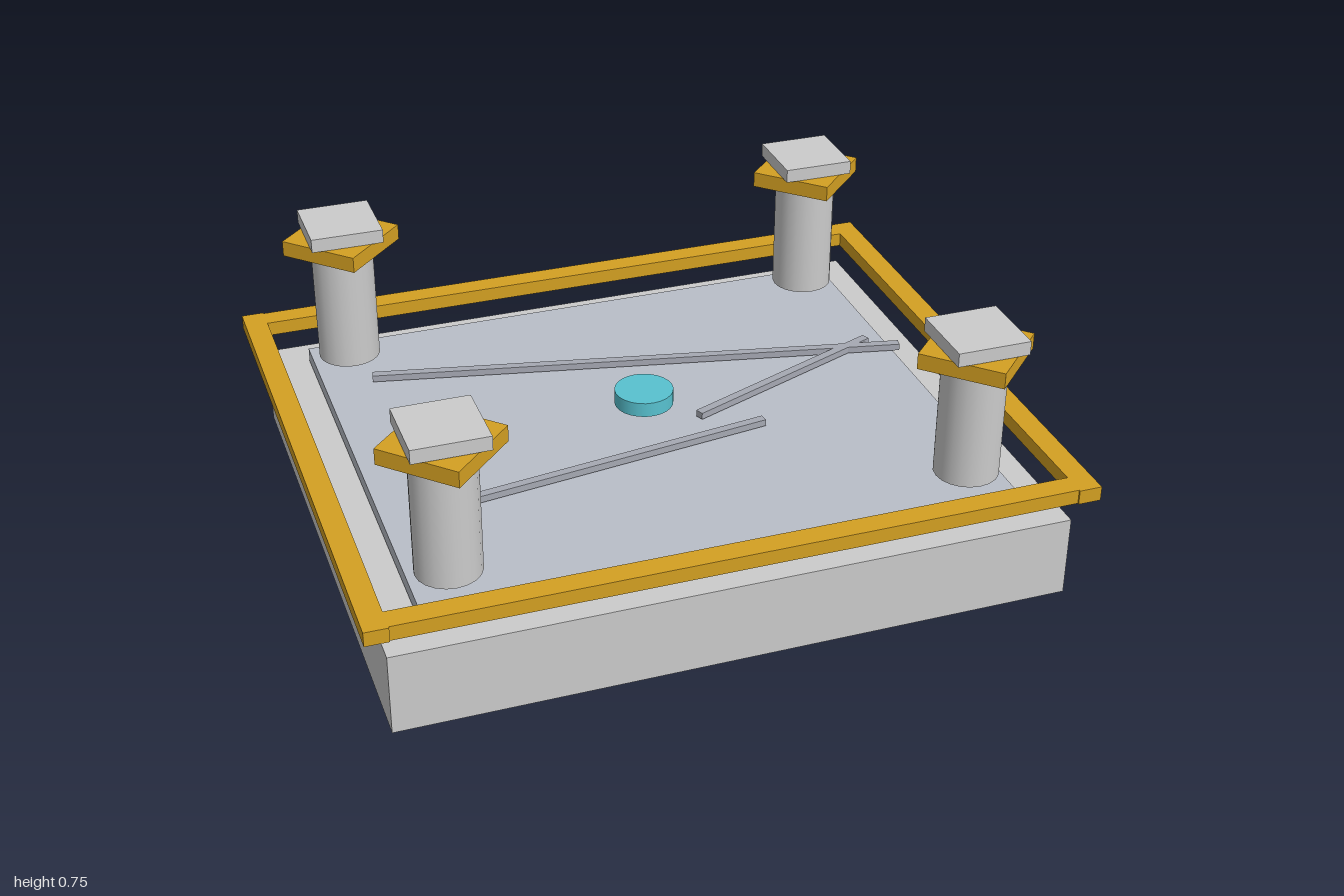
import * as THREE from 'three';

const mat = (color) => new THREE.MeshStandardMaterial({ color });

export function createModel() {
  const model = new THREE.Group();
  const grey = mat(0xcccccc);
  const slate = mat(0xb9bec8);
  const lineGrey = mat(0xa6a9b3);
  const gold = mat(0xd4a022);
  const cyan = mat(0x58c2d0);

  const add = (parent, name, geometry, material, x, y, z) => {
    const mesh = new THREE.Mesh(geometry, material);
    mesh.name = name;
    mesh.position.set(x, y, z);
    parent.add(mesh);
    return mesh;
  };
  // Box given by its bottom and top heights
  const slab = (parent, name, w, d, y0, y1, material, x = 0, z = 0) =>
    add(parent, name, new THREE.BoxGeometry(w, y1 - y0, d), material, x, (y0 + y1) / 2, z);

  // Plinth and inset floor
  slab(model, 'base', 1.88, 1.61, 0, 0.235, grey);
  slab(model, 'floor', 1.66, 1.39, 0.24, 0.283, slate);

  // Floating rim of four rails
  const rim = new THREE.Group();
  rim.name = 'rim';
  model.add(rim);
  for (const s of [-1, 1]) {
    slab(rim, 'sideRail', 0.065, 1.68, 0.308, 0.35, gold, s * 0.9675, 0);
    slab(rim, 'crossRail', 1.87, 0.065, 0.308, 0.35, gold, 0, s * 0.8025);
  }

  // Thin strips lying over the floor: x0, z0, x1, z1
  const strips = [
    [-0.69, -0.44, 0.848, -0.118],
    [0.143, 0.069, 0.768, -0.182],
    [-0.682, 0.298, 0.305, 0.158],
  ];
  for (const [x0, z0, x1, z1] of strips) {
    const length = Math.hypot(x1 - x0, z1 - z0);
    const strip = slab(model, 'floorStrip', length, 0.025, 0.289, 0.309, lineGrey, (x0 + x1) / 2, (z0 + z1) / 2);
    strip.rotation.y = -Math.atan2(z1 - z0, x1 - x0);
  }

  // Central disc
  add(model, 'centreDisc', new THREE.CylinderGeometry(0.084, 0.084, 0.043, 24), cyan, 0, 0.3525, 0);

  // Corner columns, each with a turned gold collar and a square cap
  for (const sx of [-1, 1]) {
    for (const sz of [-1, 1]) {
      const column = new THREE.Group();
      column.name = 'column';
      column.position.set(sx * 0.725, 0, sz * 0.59);
      model.add(column);
      add(column, 'shaft', new THREE.CylinderGeometry(0.09, 0.09, 0.348, 20), grey, 0, 0.484, 0);
      slab(column, 'collar', 0.24, 0.24, 0.658, 0.704, gold).rotation.y = Math.PI / 4;
      slab(column, 'cap', 0.207, 0.207, 0.706, 0.746, grey);
    }
  }
  return model;
}
